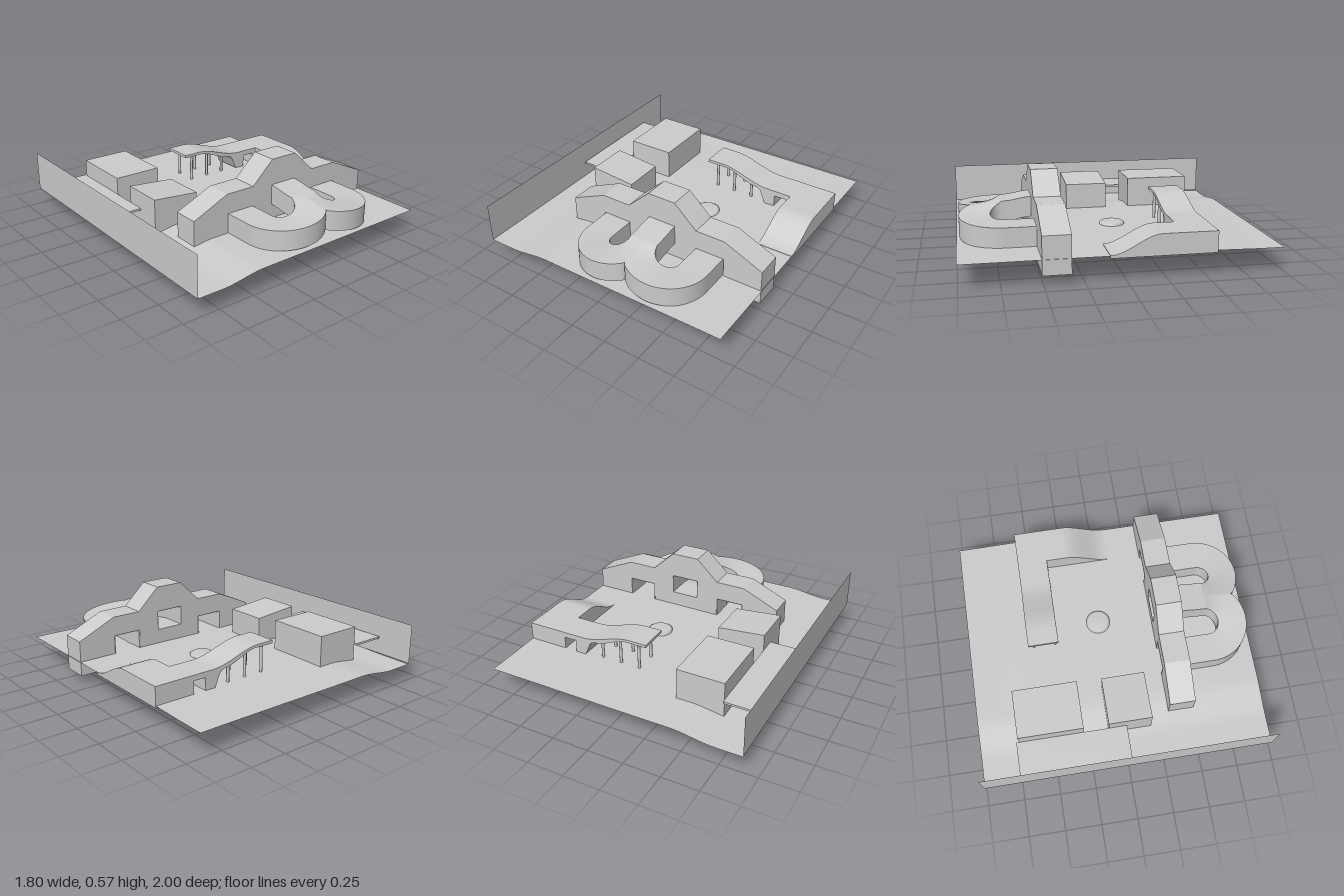
import * as THREE from 'three';

const mat = new THREE.MeshStandardMaterial({ color: 0xcccccc });
const thin = new THREE.MeshStandardMaterial({ color: 0xcccccc, side: THREE.DoubleSide });
const smooth = THREE.MathUtils.smoothstep;

function add(group, name, geometry, material = mat) {
  const mesh = new THREE.Mesh(geometry, material);
  mesh.name = name;
  group.add(mesh);
  return mesh;
}

// Box given by its limits on each axis
function box(group, name, x0, x1, y0, y1, z0, z1) {
  const g = new THREE.BoxGeometry(x1 - x0, y1 - y0, z1 - z0);
  g.translate((x0 + x1) / 2, (y0 + y1) / 2, (z0 + z1) / 2);
  return add(group, name, g);
}

const polygon = (pts) => new THREE.Shape(pts.map(([x, y]) => new THREE.Vector2(x, y)));
const extrude = (shape, depth) =>
  new THREE.ExtrudeGeometry(shape, { depth, bevelEnabled: false, curveSegments: 20 });

// Points of an S-shaped slope between two levels
function slope(u0, y0, u1, y1, n = 16) {
  return Array.from({ length: n + 1 }, (_, i) => {
    const t = i / n;
    return [u0 + (u1 - u0) * t, y0 + (y1 - y0) * smooth(t, 0, 1)];
  });
}

// Height of the ground
function groundY(x, z) {
  return 0.126 + 0.033 * smooth(x, -0.72, -0.42) + 0.006 * smooth(x, -0.4, 0.9)
    - 0.006 * (1 - smooth(z, -0.9, -0.5));
}

// Strip of surface between two rows of points
function strip(a, b) {
  const pos = [], idx = [];
  a.forEach((p, i) => {
    pos.push(...p, ...b[i]);
    if (i) {
      const k = 2 * i;
      idx.push(k - 2, k - 1, k, k - 1, k + 1, k);
    }
  });
  const g = new THREE.BufferGeometry();
  g.setAttribute('position', new THREE.Float32BufferAttribute(pos, 3));
  g.setIndex(idx);
  g.computeVertexNormals();
  return g;
}

// One half of the double loop: side arm, half turn, half of the centre arm
function rampLoop(side) {
  const group = new THREE.Group();
  group.name = side < 0 ? 'rightRampLoop' : 'leftRampLoop';
  const mid = 0.16, rIn = 0.08, rMid = 0.18, rOut = 0.28, zc = 0.7, thick = 0.135;
  const inner = [], outer = [];
  let wallEnd = 0;
  const put = (list, off, z, y) => list.push([mid + side * (rMid - off), y, z]);
  // side arm
  for (let i = 0; i < 4; i++) {
    const z = 0.328 + (zc - 0.328) * i / 4;
    put(inner, -rIn, z, 0.293);
    put(outer, -rOut, z, 0.293);
  }
  // half turn, trimmed where the two loops meet
  const n = 48;
  for (let i = 0; i <= n; i++) {
    const p = i / n, a = Math.PI * (1 - p), c = Math.cos(a), s = Math.sin(a);
    const r = c > rMid / rOut ? rMid / c : rOut;
    const y = 0.293 + 0.082 * p * p;
    put(inner, rIn * c, zc + rIn * s, y);
    put(outer, r * c, zc + r * s, y);
    if (r === rOut) wallEnd = inner.length + 1;
  }
  // centre arm
  for (let i = 1; i <= 8; i++) {
    const z = zc - (zc - 0.328) * i / 8, y = 0.375 + 0.025 * smooth(-z, -0.7, -0.5);
    put(inner, rIn, z, y);
    put(outer, rMid, z, y);
  }
  const low = (list) => list.map(([x, y, z]) => [x, y - thick, z]);
  // keep the upper side facing up on both mirrored halves
  const top = side < 0 ? strip(outer, inner) : strip(inner, outer);
  const up = top.attributes.normal.getY(0) > 0;
  add(group, 'rampTop', up ? top : side < 0 ? strip(inner, outer) : strip(outer, inner), thin);
  const lowIn = low(inner), lowOut = low(outer);
  add(group, 'rampUnderside', up === side < 0 ? strip(lowIn, lowOut) : strip(lowOut, lowIn), thin);
  add(group, 'rampInnerWall', strip(inner, lowIn), thin);
  add(group, 'rampOuterWall', strip(outer.slice(0, wallEnd), lowOut.slice(0, wallEnd)), thin);
  return group;
}

export function createModel() {
  const model = new THREE.Group();
  model.name = 'siteModel';

  // Ground sheet
  const ground = new THREE.PlaneGeometry(1.8, 2, 60, 20).rotateX(-Math.PI / 2);
  const p = ground.attributes.position;
  for (let i = 0; i < p.count; i++) p.setY(i, groundY(p.getX(i), p.getZ(i)));
  ground.computeVertexNormals();
  add(model, 'ground', ground, thin);

  // Tall boundary wall along one edge
  const wall = new THREE.PlaneGeometry(2, 0.275).rotateY(Math.PI / 2).translate(-0.9, 0.2625, 0);
  add(model, 'boundaryWall', wall, thin);

  // Gabled main building with two side passages and a centre doorway
  const facade = polygon([
    [-0.57, 0.065], [-0.305, 0.065], [-0.305, 0.295], [-0.105, 0.295], [-0.105, 0.065],
    [0.425, 0.065], [0.425, 0.295], [0.625, 0.295], [0.625, 0.065], [0.895, 0.065],
    [0.895, 0.31], [0.625, 0.43], [0.42, 0.43], [0.26, 0.58], [0.06, 0.58],
    [-0.1, 0.43], [-0.31, 0.43], [-0.57, 0.315],
  ]);
  facade.holes.push(new THREE.Path([[0.06, 0.265], [0.06, 0.402], [0.26, 0.402], [0.26, 0.265]]
    .map(([x, y]) => new THREE.Vector2(x, y))));
  add(model, 'mainBuilding', extrude(facade, 0.178).translate(0, 0, 0.33));

  // Double loop of hollow ramps in front of the building
  model.add(rampLoop(-1), rampLoop(1));

  // Two side buildings, the front one with a gently pitched roof
  box(model, 'backSideBuilding', -0.65, -0.32, 0.005, 0.37, -0.72, -0.275);
  add(model, 'frontSideBuilding', extrude(polygon([
    [-0.65, 0.005], [-0.32, 0.005], [-0.32, 0.34], [-0.65, 0.37],
  ]), 0.297).translate(0, 0, -0.105));

  // Canopy between the side buildings and the boundary wall
  box(model, 'canopy', -0.89, -0.65, 0.238, 0.252, -0.74, 0.02);

  // Raised walkway: wavy deck that becomes a solid base with a small opening
  add(model, 'walkway', extrude(polygon([
    [-0.02, 0.37], [-0.02, 0.35], ...slope(0.12, 0.35, 0.38, 0.275),
    ...slope(0.4, 0.265, 0.47, 0.15, 6), [0.53, 0.15], [0.53, 0.25], [0.62, 0.25],
    [0.62, 0.15], [0.9, 0.15], [0.9, 0.288], ...slope(0.47, 0.288, 0.1, 0.37),
  ]), 0.212).translate(0, 0, -0.57));

  // Ramp from the walkway down to the ground
  add(model, 'walkwayRamp', extrude(polygon([
    [-0.358, 0.15], [0.1, 0.15], ...slope(0.1, 0.168, -0.22, 0.288), [-0.358, 0.288],
  ]), 0.25).rotateY(-Math.PI / 2).translate(0.9, 0, 0));

  // Slim posts under the walkway
  for (const x of [0.05, 0.19, 0.33]) {
    for (const z of [-0.54, -0.385]) {
      const top = x > 0.3 ? 0.3 : 0.352;
      add(model, 'walkwayPost', new THREE.CylinderGeometry(0.01, 0.01, top - 0.155, 12)
        .translate(x, (top + 0.155) / 2, z));
    }
  }

  // Low round basin in the courtyard
  const rim = [[0.085, 0.15], [0.085, 0.172], [0.07, 0.182], [0, 0.182]];
  add(model, 'courtyardDisc', new THREE.LatheGeometry(
    rim.map(([r, y]) => new THREE.Vector2(r, y)), 40).translate(0.16, 0, -0.055));

  return model;
}
